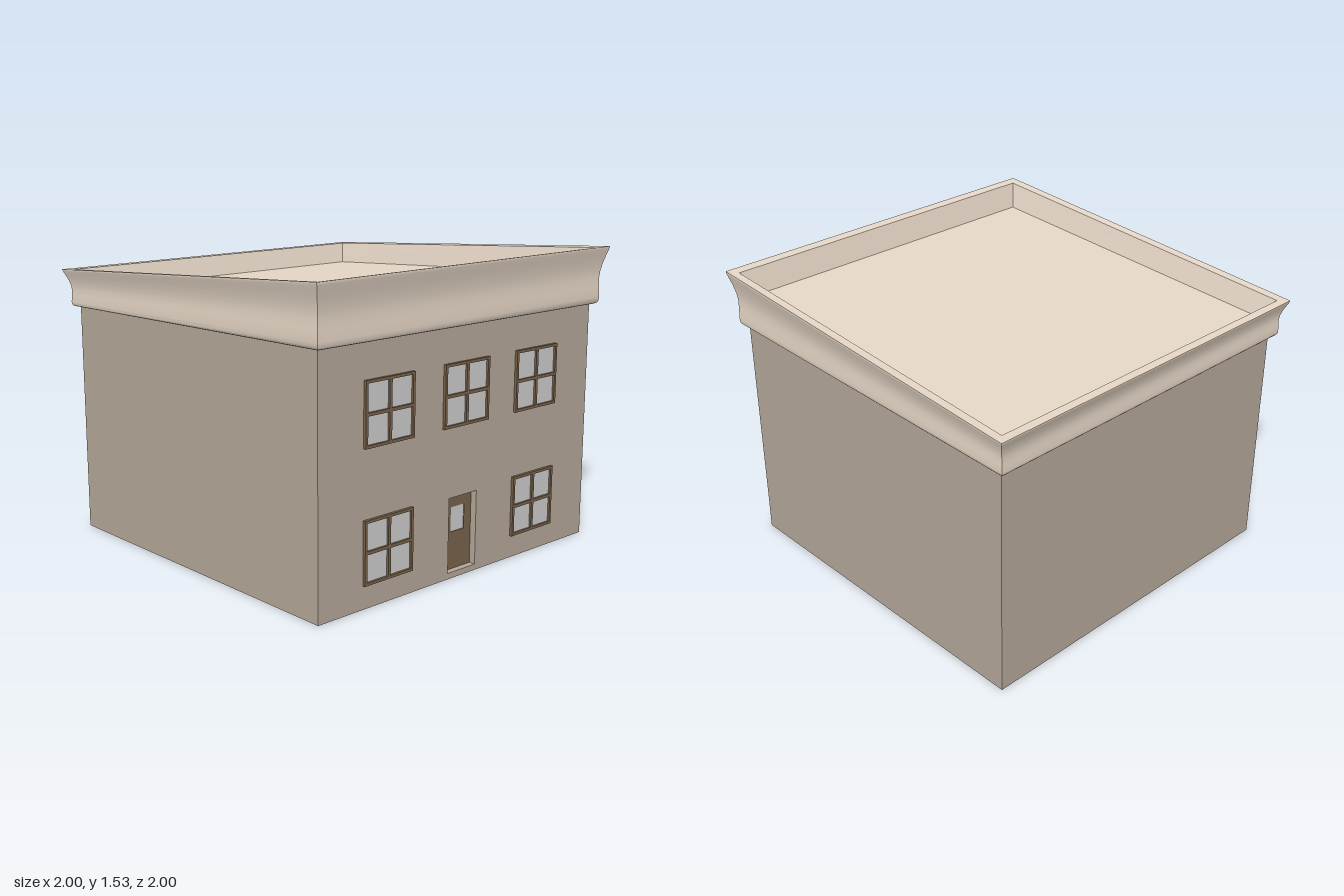
import * as THREE from 'three';
import { toCreasedNormals } from 'three/addons/utils/BufferGeometryUtils.js';

const paint = (color) => new THREE.MeshStandardMaterial({ color, side: THREE.DoubleSide });
const WALL = paint(0xb3a698), TRIM = paint(0xe5d6c6), WOOD = paint(0x78624a), GLASS = paint(0xcccccc);
const HALF_X = 0.933, HALF_Z = 0.938, WALL_TOP = 1.25, RECESS = 0.04;
const DOOR = { x: -0.003, w: 0.195, y0: 0.03, y1: 0.408 };

function add(parent, name, geometry, material, x = 0, y = 0, z = 0) {
  const mesh = new THREE.Mesh(geometry, material);
  mesh.name = name;
  mesh.position.set(x, y, z);
  parent.add(mesh);
  return mesh;
}

// The roof line rises from -x to +x; t runs from cornice bottom to rim.
function slopeY(x, t) {
  const k = (x + 1) / 2;
  return THREE.MathUtils.lerp(1.205 + 0.035 * k, 1.4 + 0.135 * k, t);
}
const deckY = (x) => 1.342 + 0.057 * x;

// Rectangle path, used for outlines and holes
function rect(path, x0, y0, x1, y1) {
  path.moveTo(x0, y0);
  path.lineTo(x1, y0);
  path.lineTo(x1, y1);
  path.lineTo(x0, y1);
  path.closePath();
  return path;
}

function extrude(shape, depth) {
  return new THREE.ExtrudeGeometry(shape, { depth, bevelEnabled: false });
}

// Cornice profile [half-width, t] swept around the square with mitred corners
function corniceGeometry() {
  const profile = [[0.925, 0], [0.953, 0], [0.962, 0.015], [0.968, 0.05], [0.97, 0.12], [0.968, 0.3],
    [0.967, 0.46], [0.97, 0.57], [0.976, 0.68], [0.984, 0.79], [0.992, 0.88], [0.998, 0.95],
    [1, 0.975], [1, 1], [0.953, 0.985], [0.922, null]];
  const corners = [[1, 1], [1, -1], [-1, -1], [-1, 1]];
  const point = ([cx, cz], [r, t]) => [cx * r, t === null ? deckY(cx * r) : slopeY(cx * r, t), cz * r];
  const pos = [];
  corners.forEach((a, s) => {
    const b = corners[(s + 1) % 4];
    for (let i = 0; i < profile.length - 1; i++) {
      const p = point(a, profile[i]), q = point(b, profile[i]);
      const u = point(b, profile[i + 1]), v = point(a, profile[i + 1]);
      pos.push(...p, ...q, ...u, ...p, ...u, ...v);
    }
  });
  const g = new THREE.BufferGeometry();
  g.setAttribute('position', new THREE.Float32BufferAttribute(pos, 3));
  return toCreasedNormals(g, 0.6);
}

// Four-pane window with a proud frame
function makeWindow(x, y) {
  const size = 0.31, h = size / 2, edge = 0.014, bar = 0.008;
  const g = new THREE.Group();
  g.name = 'window';
  g.position.set(x, y, HALF_X);
  const frame = rect(new THREE.Shape(), -h, -h, h, h);
  for (const sx of [-1, 1]) {
    for (const sy of [-1, 1]) {
      const xs = [sx * bar, sx * (h - edge)].sort((a, b) => a - b);
      const ys = [sy * bar, sy * (h - edge)].sort((a, b) => a - b);
      frame.holes.push(rect(new THREE.Path(), xs[0], ys[0], xs[1], ys[1]));
    }
  }
  add(g, 'windowFrame', extrude(frame, 0.015), WOOD);
  add(g, 'windowGlass', new THREE.PlaneGeometry(size - edge, size - edge), GLASS, 0, 0, 0.004);
  return g;
}

export function createModel() {
  const model = new THREE.Group();
  model.name = 'building';

  // Main block, stopping short of the facade so the door can be recessed
  const depth = 2 * HALF_X - RECESS;
  add(model, 'walls', new THREE.BoxGeometry(depth, WALL_TOP, 2 * HALF_Z), WALL, -RECESS / 2, WALL_TOP / 2, 0);

  // Facade faces +x; built facing +z and turned
  const facade = new THREE.Group();
  facade.name = 'facade';
  facade.rotation.y = Math.PI / 2;
  model.add(facade);

  const dx0 = DOOR.x - DOOR.w / 2, dx1 = DOOR.x + DOOR.w / 2;
  const wall = rect(new THREE.Shape(), -HALF_Z, 0, HALF_Z, WALL_TOP);
  wall.holes.push(rect(new THREE.Path(), dx0, DOOR.y0, dx1, DOOR.y1));
  add(facade, 'facadeWall', extrude(wall, RECESS), WALL, 0, 0, HALF_X - RECESS);

  // Door leaf with a small pane
  const leaf = rect(new THREE.Shape(), dx0, DOOR.y0, dx1, DOOR.y1);
  leaf.holes.push(rect(new THREE.Path(), -0.049, 0.22, 0.045, 0.345));
  add(facade, 'door', extrude(leaf, 0.006), WOOD, 0, 0, HALF_X - RECESS);
  add(facade, 'doorGlass', new THREE.PlaneGeometry(0.1, 0.13), GLASS, -0.002, 0.2825, HALF_X - RECESS + 0.003);

  // Three windows above, two beside the door
  for (const x of [-0.512, 0, 0.512]) facade.add(makeWindow(x, 0.912));
  for (const x of [-0.512, 0.512]) facade.add(makeWindow(x, 0.27));

  // Cornice and sloping roof deck
  add(model, 'cornice', corniceGeometry(), TRIM);
  const deck = new THREE.PlaneGeometry(1.844, 1.844).rotateX(-Math.PI / 2);
  const p = deck.attributes.position;
  for (let i = 0; i < p.count; i++) p.setY(i, deckY(p.getX(i)));
  deck.computeVertexNormals();
  add(model, 'roofDeck', deck, TRIM);

  return model;
}
